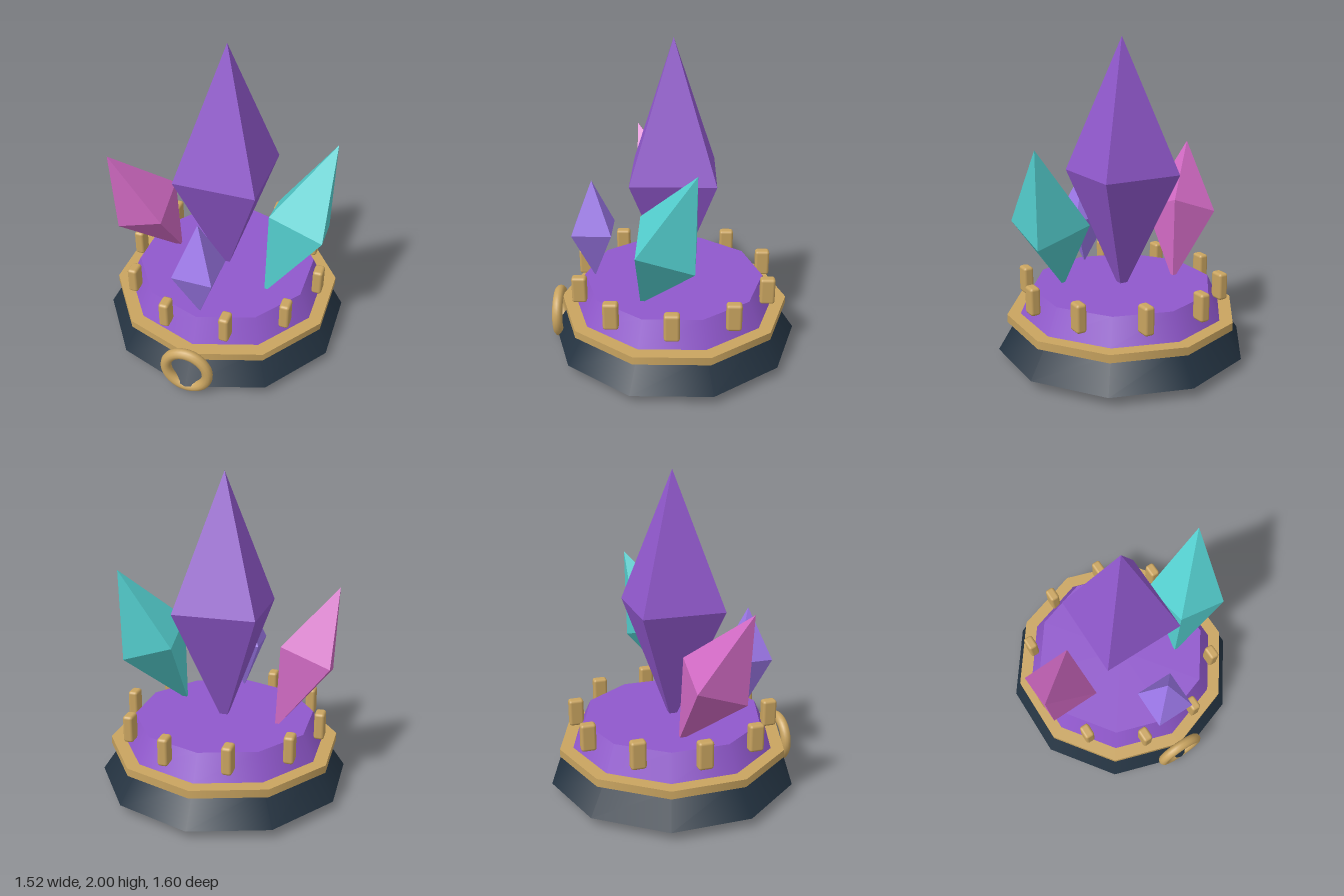
import * as THREE from 'three';
import { RoundedBoxGeometry } from 'three/addons/geometries/RoundedBoxGeometry.js';

const SIDES = 10;
const mat = (color, flatShading = false) => new THREE.MeshStandardMaterial({ color, flatShading });

// Ten-sided tier between two heights
function tier(name, rTop, rBottom, y0, y1, material) {
  const mesh = new THREE.Mesh(new THREE.CylinderGeometry(rTop, rBottom, y1 - y0, SIDES), material);
  mesh.position.y = (y0 + y1) / 2;
  mesh.name = name;
  return mesh;
}

// Four-sided double pyramid: centre, vector to the upper tip, vector to the lower tip, vector to one waist corner
function crystal(name, centre, up, down, corner, color) {
  const c = new THREE.Vector3(...centre);
  const u = new THREE.Vector3(...up);
  const a = new THREE.Vector3(...corner);
  const b = u.clone().cross(a).setLength(a.length());
  const tip = c.clone().add(u);
  const foot = c.clone().add(new THREE.Vector3(...down));
  const waist = [a, b, a.clone().negate(), b.clone().negate()].map(v => v.add(c));
  const points = [];
  for (let i = 0; i < 4; i++) {
    const p = waist[i], q = waist[(i + 1) % 4];
    points.push(p, q, tip, q, p, foot);
  }
  const geometry = new THREE.BufferGeometry().setFromPoints(points);
  geometry.computeVertexNormals();
  const mesh = new THREE.Mesh(geometry, mat(color, true));
  mesh.name = name;
  return mesh;
}

export function createModel() {
  const model = new THREE.Group();
  model.name = 'crystalPedestal';
  const gold = mat(0xc9a460);

  // Stepped pedestal
  model.add(
    tier('base', 0.67, 0.8, 0.06, 0.25, mat(0x22313f)),
    tier('goldBand', 0.74, 0.74, 0.24, 0.29, gold),
    tier('platform', 0.58, 0.655, 0.29, 0.45, mat(0x9058cc))
  );

  // Ring of upright studs, all facing the same way
  const studs = new THREE.Group();
  studs.name = 'studs';
  const studGeometry = new RoundedBoxGeometry(0.065, 0.175, 0.095, 2, 0.018);
  for (let i = 0; i < SIDES; i++) {
    const t = ((i + 0.5) / SIDES) * Math.PI * 2;
    const stud = new THREE.Mesh(studGeometry, gold);
    stud.name = 'stud';
    stud.position.set(0.625 * Math.sin(t), 0.448, 0.625 * Math.cos(t));
    studs.add(stud);
  }
  model.add(studs);

  // Ring at the front
  const ring = new THREE.Mesh(new THREE.TorusGeometry(0.136, 0.034, 12, 40), gold);
  ring.name = 'frontRing';
  ring.position.set(0, 0.17, 0.762);
  model.add(ring);

  // Crystals: two upright, two leaning outwards
  model.add(
    crystal('mainCrystal', [0, 1.17, 0], [0, 0.83, 0], [0, -0.8, 0], [0.26, 0, 0.26], 0x9058cc),
    crystal('smallCrystal', [0, 0.78, 0.515], [0, 0.33, 0], [0, -0.34, 0], [0.125, 0, 0.125], 0x9d78ea),
    crystal('leftCrystal', [0.485, 0.905, 0.03], [0.165, 0.485, -0.17], [-0.165, -0.485, 0.17], [0.178, -0.002, 0.175], 0x54cfcf),
    crystal('rightCrystal', [-0.515, 0.845, 0.095], [-0.165, 0.43, 0.165], [0.165, -0.43, -0.165], [0.165, 0, 0.165], 0xd069c2)
  );
  return model;
}
